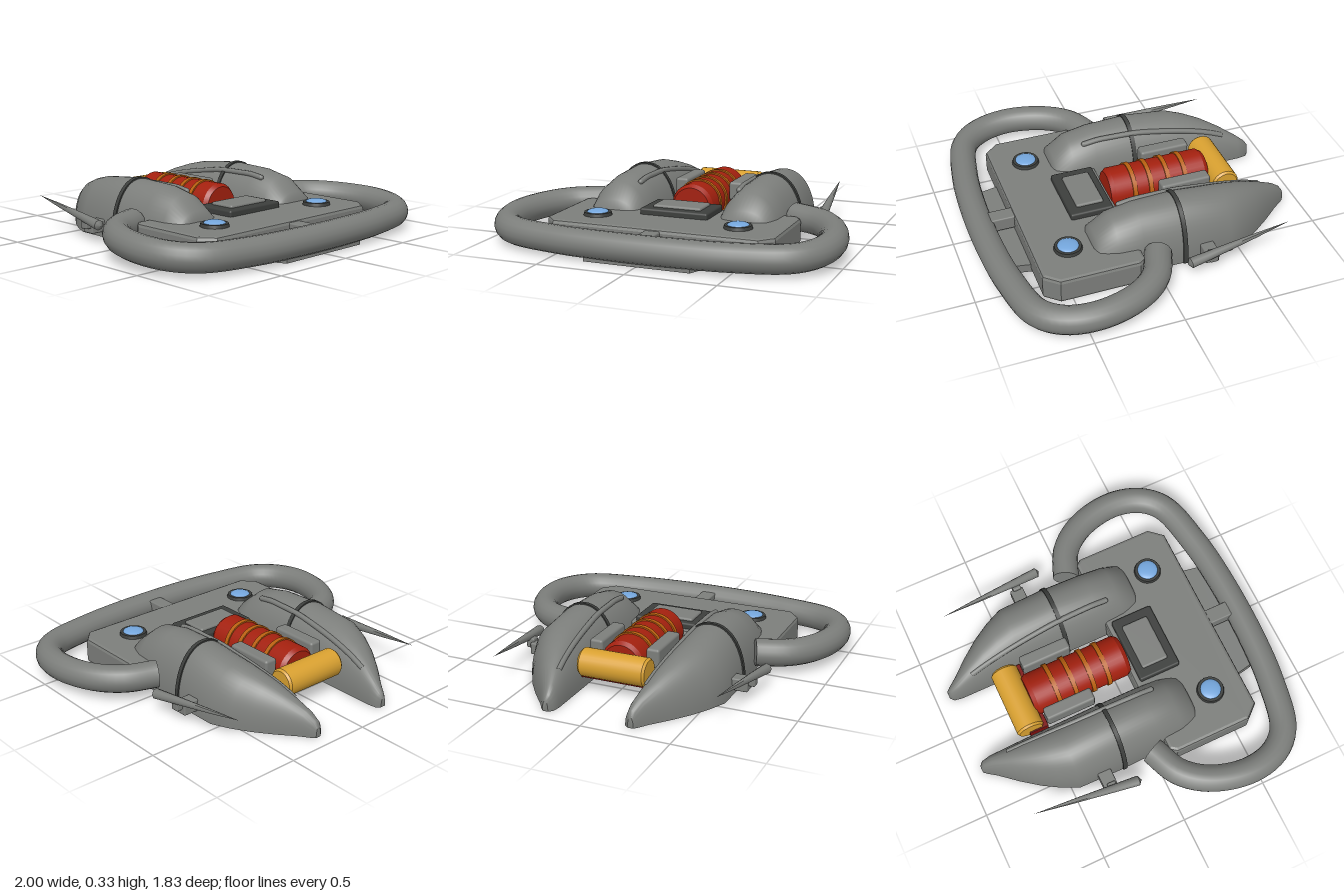
import * as THREE from 'three';
import { toCreasedNormals } from 'three/addons/utils/BufferGeometryUtils.js';
import { RoundedBoxGeometry } from 'three/addons/geometries/RoundedBoxGeometry.js';

const mat = (name, color) => Object.assign(new THREE.MeshStandardMaterial({ color }), { name });

// Pod cross-sections from front to back: z, inner x, outer x, height
const POD = [
  [0.32, 0.225, 0.555, 0.165], [0.30, 0.215, 0.565, 0.205], [0.2, 0.205, 0.575, 0.285],
  [0.06, 0.2, 0.58, 0.315], [-0.2, 0.2, 0.585, 0.325], [-0.45, 0.2, 0.58, 0.3],
  [-0.55, 0.2, 0.535, 0.275], [-0.65, 0.2, 0.475, 0.24], [-0.75, 0.2, 0.4, 0.19],
  [-0.85, 0.2, 0.315, 0.13], [-0.9, 0.208, 0.28, 0.09], [-0.92, 0.23, 0.262, 0.06],
];
const POWER = 2.15;

// Section of the pod at any z
function podAt(z) {
  let i = 0;
  while (i < POD.length - 2 && POD[i + 1][0] > z) i++;
  const a = POD[i], b = POD[i + 1], t = (a[0] - z) / (a[0] - b[0]);
  return a.map((v, k) => v + (b[k] - v) * t);
}

// Height of the pod surface above a point
function podHeight(x, z) {
  const [, inner, outer, h] = podAt(z);
  const u = Math.min(1, Math.abs((x - (inner + outer) / 2) / ((outer - inner) / 2)));
  return h * (1 - u ** POWER) ** (1 / POWER);
}

// Closed half-dome loft through the given sections
function loft(sections, n = 28) {
  const pos = [], index = [], row = n + 1, last = sections.length - 1;
  for (const [z, inner, outer, h] of sections) {
    for (let j = 0; j <= n; j++) {
      const a = (j / n) * Math.PI, c = Math.cos(a), s = Math.max(0, Math.sin(a));
      const e = 2 / POWER;
      pos.push((inner + outer) / 2 + Math.sign(c) * Math.abs(c) ** e * (outer - inner) / 2, h * s ** e, z);
    }
  }
  for (let i = 0; i < last; i++) {
    for (let j = 0; j < n; j++) {
      const a = i * row + j, c = a + row;
      index.push(a, c, a + 1, a + 1, c, c + 1);
    }
    const p = i * row, q = p + n;
    index.push(p, q, p + row, q, q + row, p + row);
  }
  for (let j = 1; j < n; j++) {
    index.push(0, j, j + 1, last * row, last * row + j + 1, last * row + j);
  }
  const g = new THREE.BufferGeometry();
  g.setAttribute('position', new THREE.Float32BufferAttribute(pos, 3));
  g.setIndex(index);
  return toCreasedNormals(g, 0.7);
}

// Mirror across x and turn the faces the right way round again
function mirrored(geo) {
  const g = geo.clone().scale(-1, 1, 1);
  const count = g.index ? g.index.count : g.attributes.position.count;
  const at = (i) => (g.index ? geo.index.getX(i) : i);
  const out = [];
  for (let i = 0; i < count; i += 3) out.push(at(i), at(i + 2), at(i + 1));
  g.setIndex(out);
  return g;
}

// Flat slab from an outline of [x, z] points of the left half
function slab(half, y0, y1, bevel) {
  const pts = [...half, ...half.slice().reverse().map(([x, z]) => [-x, z])];
  const inset = pts.map(([x, z]) => new THREE.Vector2(x, -z));
  const g = new THREE.ExtrudeGeometry(new THREE.Shape(inset), {
    depth: y1 - y0 - 2 * bevel, bevelEnabled: bevel > 0, bevelSize: bevel,
    bevelThickness: bevel, bevelOffset: -bevel, bevelSegments: 2,
  });
  return g.rotateX(-Math.PI / 2).translate(0, y0 + bevel, 0);
}

export function createModel() {
  const model = new THREE.Group();
  model.name = 'hoverCraft';
  const grey = mat('hullGrey', 0x7c7e7b), dark = mat('darkTrim', 0x3c3e3c);
  const red = mat('engineRed', 0xa3200e), orange = mat('ringOrange', 0xb8600f);
  const yellow = mat('tankYellow', 0xd8a030), blue = mat('lampBlue', 0x74a6dc);
  const maroon = mat('mountMaroon', 0x7c0e0c);

  const add = (name, geo, material) => {
    const m = new THREE.Mesh(geo, material);
    m.name = name;
    model.add(m);
    return m;
  };
  const addPair = (name, geo, material) => {
    add(name + 'Left', geo, material);
    add(name + 'Right', mirrored(geo), material);
  };
  const box = (x0, x1, y0, y1, z0, z1, r = 0.008) =>
    new RoundedBoxGeometry(x1 - x0, y1 - y0, z1 - z0, 2, r)
      .translate((x0 + x1) / 2, (y0 + y1) / 2, (z0 + z1) / 2);

  // Deck and the low plate in front of it
  add('deck', slab([[0.63, 0.08], [0.66, 0.12], [0.66, 0.57], [0.59, 0.65]], 0, 0.15, 0.02), grey);
  add('frontPlate', slab([[0.37, 0.63], [0.345, 0.76], [0.3, 0.86]], 0, 0.05, 0), grey);
  add('bumperBracket', box(-0.045, 0.045, 0.06, 0.14, 0.62, 0.79), grey);

  // Bumper hoop wrapping round the front
  const halfHoop = [[0.59, 0.127, -0.005], [0.76, 0.123, 0.075], [0.87, 0.117, 0.22], [0.922, 0.11, 0.44],
    [0.885, 0.1, 0.62], [0.78, 0.094, 0.735], [0.5, 0.09, 0.805], [0.2, 0.09, 0.833]];
  const hoopPts = [...halfHoop, ...halfHoop.slice().reverse().map(([x, y, z]) => [-x, y, z])]
    .map((p) => new THREE.Vector3(...p));
  const hoop = new THREE.CatmullRomCurve3(hoopPts);
  add('bumperHoop', new THREE.TubeGeometry(hoop, 96, 0.077, 16), grey);
  const cap = new THREE.CircleGeometry(0.077, 16);
  cap.applyQuaternion(new THREE.Quaternion().setFromUnitVectors(
    new THREE.Vector3(0, 0, 1), hoop.getTangent(0).negate()));
  cap.translate(...hoopPts[0].toArray());
  addPair('hoopEnd', cap, grey);

  // Pods with a dark band round each
  addPair('pod', loft(POD), grey);
  const band = [-0.16, -0.185].map((z) => {
    const [, inner, outer, h] = podAt(z);
    return [z, inner - 0.006, outer + 0.008, h + 0.008];
  });
  addPair('podBand', loft(band), dark);

  // Slim rib along the inner shoulder of each pod
  const ribPts = [];
  for (let i = 0; i <= 10; i++) {
    const t = i / 10, z = 0.12 - 0.87 * t, x = 0.3 - 0.045 * t * t;
    ribPts.push(new THREE.Vector3(x, podHeight(x, z) + 0.006 - 0.016 * t, z));
  }
  const ribCurve = new THREE.CatmullRomCurve3(ribPts);
  addPair('podRib', new THREE.TubeGeometry(ribCurve, 40, 0.016, 10), grey);
  addPair('ribTip', new THREE.SphereGeometry(0.016, 10, 8).translate(...ribPts[0].toArray()), grey);

  // Side fins: long spikes on short mounts
  const spike = new THREE.LatheGeometry([[0, -0.02], [0.03, 0], [0.024, 0.15], [0.013, 0.4], [0, 0.62]]
    .map((p) => new THREE.Vector2(...p)), 8);
  const base = new THREE.Vector3(0.707, 0.105, -0.15), tip = new THREE.Vector3(0.648, 0.18, -0.76);
  const fin = toCreasedNormals(spike, 0.9);
  fin.applyQuaternion(new THREE.Quaternion().setFromUnitVectors(
    new THREE.Vector3(0, 1, 0), tip.sub(base).normalize()));
  addPair('sideFin', fin.translate(...base.toArray()), grey);
  addPair('finMount', box(0.54, 0.665, 0.03, 0.1, -0.34, -0.26), grey);
  addPair('finStrut', box(0.65, 0.7, 0.06, 0.12, -0.32, -0.27), grey);

  // Central engine with rings, cross tank and mounts
  const barrel = new THREE.LatheGeometry([[0, -0.3], [0.108, -0.3], [0.125, -0.275], [0.125, 0.275], [0.108, 0.3], [0, 0.3]]
    .map((p) => new THREE.Vector2(...p)), 32);
  add('engineBarrel', toCreasedNormals(barrel, 0.5).rotateX(Math.PI / 2).translate(0, 0.15, -0.21), red);
  for (const z of [-0.36, -0.255, -0.148, -0.05]) {
    add('engineRing', new THREE.CylinderGeometry(0.133, 0.133, 0.026, 32)
      .rotateX(Math.PI / 2).translate(0, 0.15, z), orange);
  }
  const tank = new THREE.LatheGeometry([[0, -0.198], [0.07, -0.198], [0.08, -0.185], [0.08, 0.185], [0.07, 0.198], [0, 0.198]]
    .map((p) => new THREE.Vector2(...p)), 24);
  add('crossTank', toCreasedNormals(tank, 0.5).rotateZ(Math.PI / 2).translate(0, 0.16, -0.578), yellow);
  add('tankMount', box(-0.205, 0.205, 0.07, 0.14, -0.59, -0.475, 0.004), maroon);
  addPair('engineSideBlock', box(0.13, 0.208, 0.14, 0.25, -0.475, -0.18, 0.015), grey);

  // Console on the deck
  add('consoleFrame', box(-0.2, 0.2, 0.13, 0.185, 0.11, 0.36, 0.012), dark);
  add('consolePad', box(-0.142, 0.142, 0.16, 0.2, 0.15, 0.31, 0.012), grey);

  // Round lamps
  addPair('lampRing', new THREE.CylinderGeometry(0.075, 0.083, 0.03, 24).translate(0.413, 0.153, 0.45), dark);
  addPair('lampLens', new THREE.SphereGeometry(0.06, 24, 8, 0, Math.PI * 2, 0, Math.PI / 2)
    .scale(1, 0.27, 1).translate(0.413, 0.167, 0.45), blue);

  return model;
}
